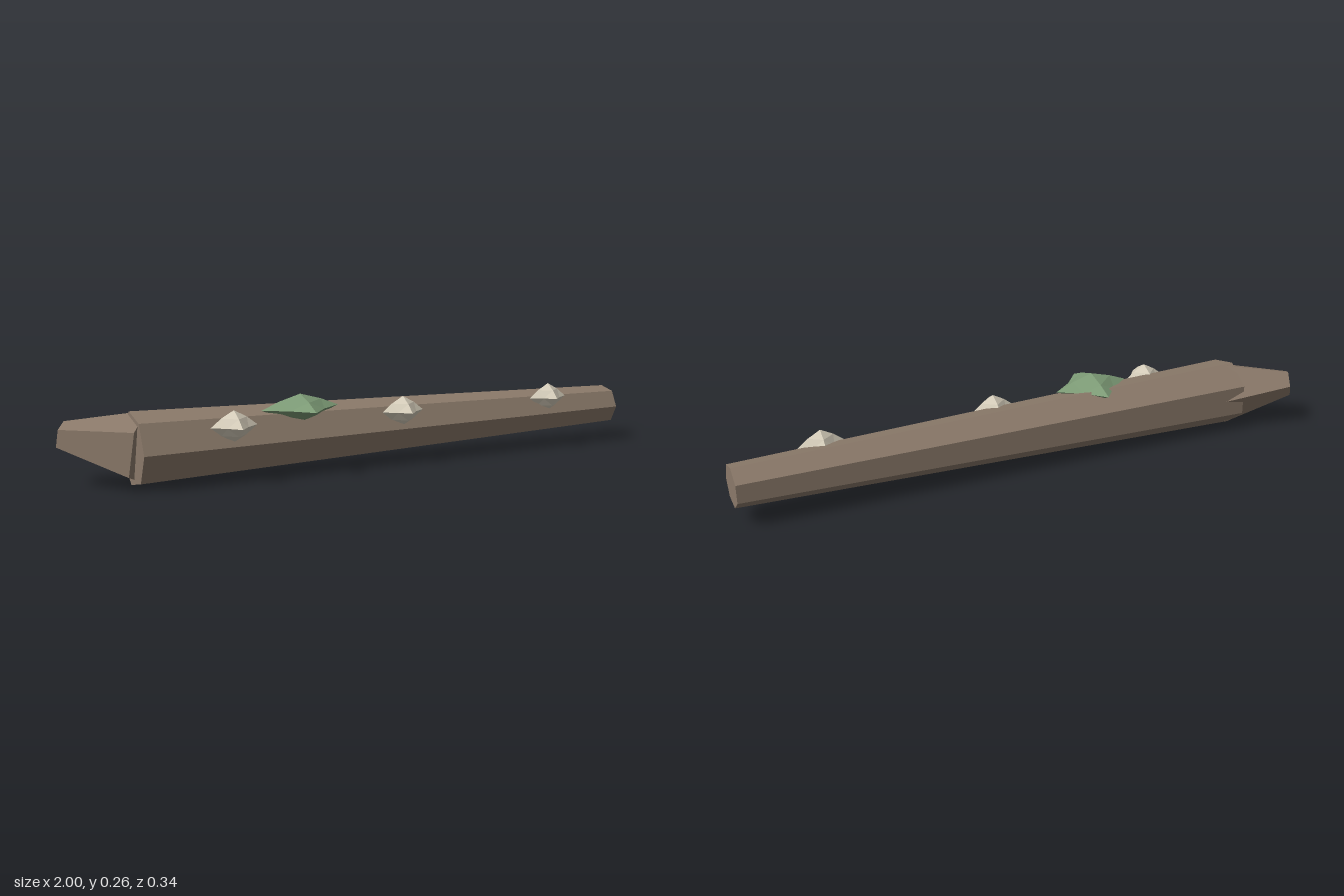
import * as THREE from 'three';

const V = (x, y, z) => new THREE.Vector3(x, y, z);
const mat = (color) => new THREE.MeshStandardMaterial({ color, flatShading: true });

// Closed tapered prism between two rings; u points at the first corner, u x v runs from a to b
function taperedPrism(a, ra, b, rb, u, v, sides) {
  const pos = [];
  const corner = (c, r, i) => {
    const t = (i / sides) * Math.PI * 2;
    return c.clone().addScaledVector(u, r * Math.cos(t)).addScaledVector(v, r * Math.sin(t));
  };
  const tri = (...pts) => pts.forEach((p) => pos.push(p.x, p.y, p.z));
  for (let i = 0; i < sides; i++) {
    const a0 = corner(a, ra, i), a1 = corner(a, ra, i + 1);
    const b0 = corner(b, rb, i), b1 = corner(b, rb, i + 1);
    tri(a0, a1, b1);
    tri(a0, b1, b0);
    tri(b, b0, b1);
    tri(a, a1, a0);
  }
  const geo = new THREE.BufferGeometry();
  geo.setAttribute('position', new THREE.Float32BufferAttribute(pos, 3));
  geo.computeVertexNormals();
  return geo;
}

// Pointed clump: subdivided octahedron with the midpoints pulled in
function clumpGeometry() {
  const geo = new THREE.OctahedronGeometry(1, 1);
  const p = geo.attributes.position;
  const v = V(0, 0, 0);
  for (let i = 0; i < p.count; i++) {
    v.fromBufferAttribute(p, i);
    const isCorner = Math.max(Math.abs(v.x), Math.abs(v.y), Math.abs(v.z)) > 0.9;
    if (!isCorner) v.multiplyScalar(Math.abs(v.y) < 0.1 ? 0.63 : 0.77);
    p.setXYZ(i, v.x, v.y, v.z);
  }
  geo.computeVertexNormals();
  return geo;
}

export function createModel() {
  const model = new THREE.Group();
  const bark = mat(0x8b7a6a), cream = mat(0xd6cebb), green = mat(0x7d9b76);
  const add = (name, geo, material) => {
    const mesh = new THREE.Mesh(geo, material);
    mesh.name = name;
    model.add(mesh);
    return mesh;
  };

  // Seven-sided fallen trunk, thicker at the left end of the front
  add('trunk', taperedPrism(V(-0.79, 0.116, -0.012), 0.118, V(1, 0.126, 0.036), 0.07,
    V(0, 0, 1), V(0, -1, 0), 7), bark);

  // Five-sided branch stub pointing back and slightly up
  const base = V(-0.77, 0.118, -0.011), tip = V(-0.977, 0.155, -0.132);
  const d = tip.clone().sub(base).normalize();
  const v = d.clone().cross(V(0.58, 0, -0.81)).normalize();
  const u = v.clone().cross(d);
  add('branchStub', taperedPrism(base, 0.118, tip, 0.047, u, v, 5), bark);

  // Moss on top of the trunk
  const clump = clumpGeometry();
  const moss = add('moss', clump, green);
  moss.position.set(-0.255, 0.213, 0.047);
  moss.scale.set(0.135, 0.045, 0.12);

  // Row of shelf fungi along the front
  [[-0.5, 0.181, 0.093, 0.073], [0.1, 0.18, 0.089, 0.066], [0.7, 0.181, 0.084, 0.056]].forEach(([x, y, z, depth], i) => {
    const fungus = add('fungus' + (i + 1), clump, cream);
    fungus.position.set(x, y, z);
    fungus.scale.set(0.077, 0.05, depth);
  });
  return model;
}
